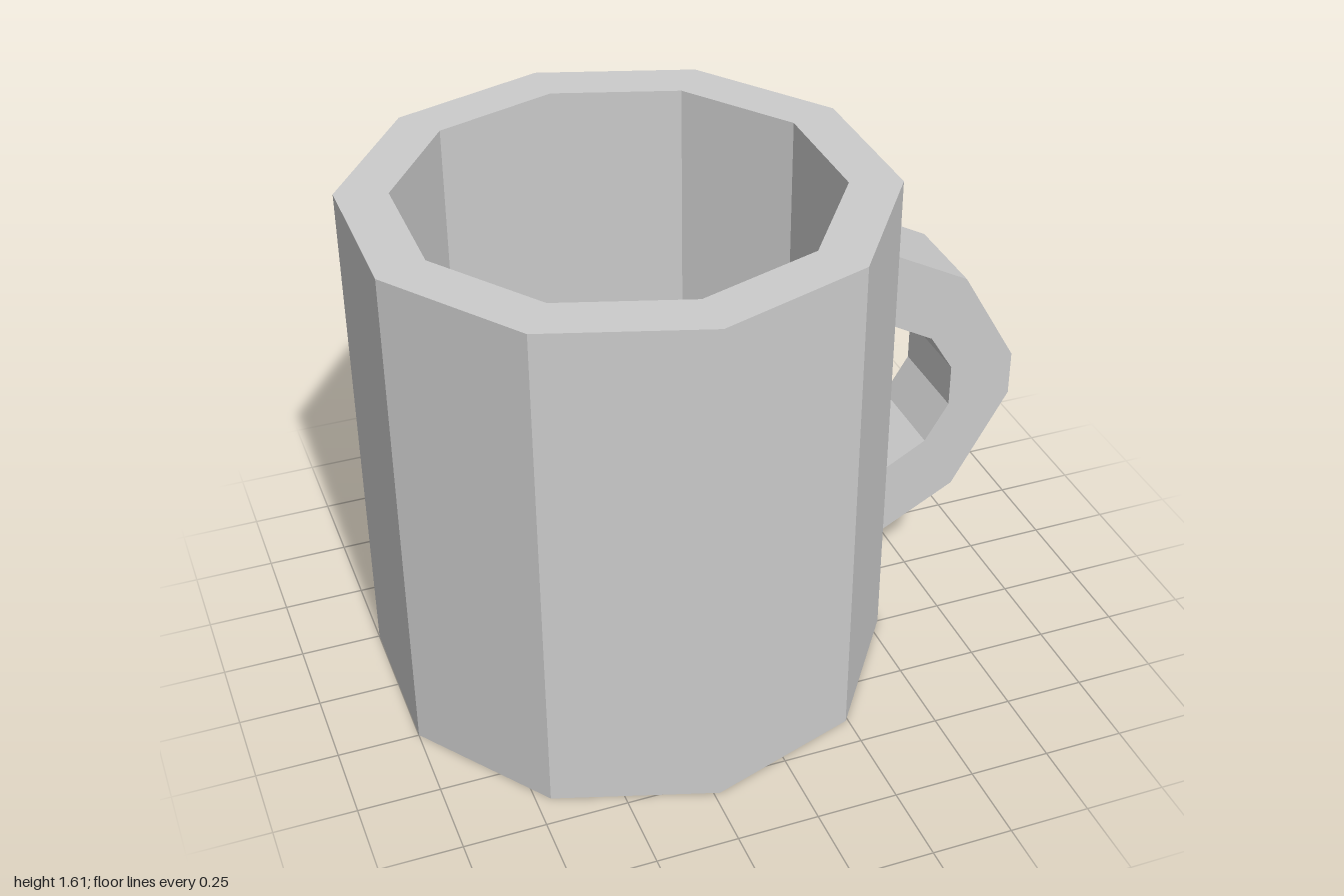
import * as THREE from 'three';

export function createModel() {
  const group = new THREE.Group();
  const material = new THREE.MeshStandardMaterial({ color: 0xcccccc, flatShading: true });
  const R = 0.807, r = 0.65, H = 1.612, floor = 0.16;
  const midY = 0.794;

  // Ten-sided hollow cup: base, outer wall, rim, inner wall, inner floor
  const profile = [[0, 0], [R, 0], [R, H], [r, H], [r, floor], [0, floor]]
    .map(([x, y]) => new THREE.Vector2(x, y));
  const cup = new THREE.Mesh(new THREE.LatheGeometry(profile, 10), material);
  cup.name = 'cup';
  cup.position.x = -0.232;
  group.add(cup);

  // Angular handle: half outlines as [x, height above the handle's middle], mirrored downwards
  const outer = [[0.53, 0.535], [0.82, 0.38], [0.999, 0.072]];
  const inner = [[0.53, 0.293], [0.715, 0.19], [0.79, 0.068]];
  const mirror = (pts) => pts.map(([x, y]) => [x, -y]).reverse();
  const outline = [...outer, ...mirror(outer), ...inner.map(([x, y]) => [x, -y]), ...[...inner].reverse()]
    .map(([x, y]) => new THREE.Vector2(x, y + midY));
  const handle = new THREE.Mesh(
    new THREE.ExtrudeGeometry(new THREE.Shape(outline), { depth: 0.296, bevelEnabled: false }),
    material
  );
  handle.name = 'handle';
  handle.position.z = -0.148;
  group.add(handle);

  return group;
}
